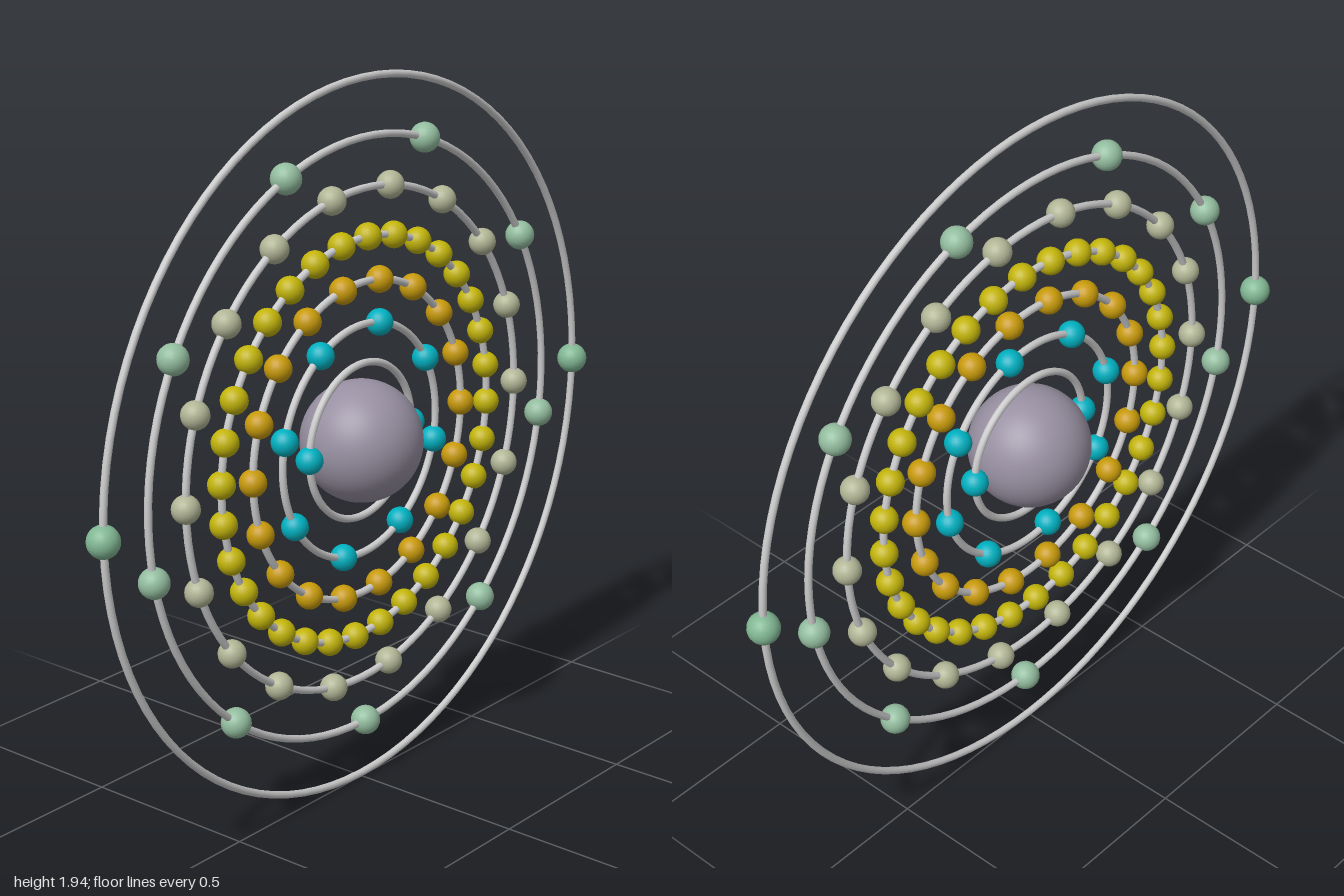
import * as THREE from 'three';

const CENTER_Y = 0.968;
const TUBE = 0.01;

// One entry per ring, from the inside out; start is the angle of the first bead in degrees
const SHELLS = [
  { radius: 0.21, count: 2, start: 0, bead: 0.036, color: 0x00b0c0 },
  { radius: 0.315, count: 8, start: 31.3, bead: 0.036, color: 0x00b0c0 },
  { radius: 0.428, count: 18, start: 0, bead: 0.036, color: 0xc79a0a },
  { radius: 0.545, count: 32, start: 8.44, bead: 0.036, color: 0xc2b40a },
  { radius: 0.674, count: 18, start: 0, bead: 0.037, color: 0xb2b696 },
  { radius: 0.806, count: 9, start: 31.2, bead: 0.04, color: 0x93bd9f },
  { radius: 0.958, count: 2, start: 0, bead: 0.042, color: 0x82b894 },
];

function addMesh(parent, name, geometry, material) {
  const mesh = new THREE.Mesh(geometry, material);
  mesh.name = name;
  parent.add(mesh);
  return mesh;
}

export function createModel() {
  const model = new THREE.Group();
  model.name = 'atomModel';

  const atom = new THREE.Group();
  atom.name = 'atom';
  atom.position.y = CENTER_Y;
  model.add(atom);

  // Central ball
  addMesh(atom, 'nucleus', new THREE.SphereGeometry(0.163, 48, 32),
    new THREE.MeshStandardMaterial({ color: 0x9890a2 }));

  // Concentric rings, each with evenly spaced beads
  const ringMaterial = new THREE.MeshStandardMaterial({ color: 0xcccccc });
  SHELLS.forEach(({ radius, count, start, bead, color }, i) => {
    const shell = new THREE.Group();
    shell.name = `shell${i + 1}`;
    atom.add(shell);

    addMesh(shell, 'orbitRing', new THREE.TorusGeometry(radius, TUBE, 10, 96), ringMaterial);

    const beadGeometry = new THREE.SphereGeometry(bead, 20, 14);
    const beadMaterial = new THREE.MeshStandardMaterial({ color });
    for (let k = 0; k < count; k++) {
      const angle = THREE.MathUtils.degToRad(start + (360 * k) / count);
      addMesh(shell, 'electron', beadGeometry, beadMaterial)
        .position.set(radius * Math.cos(angle), radius * Math.sin(angle), 0);
    }
  });

  return model;
}
